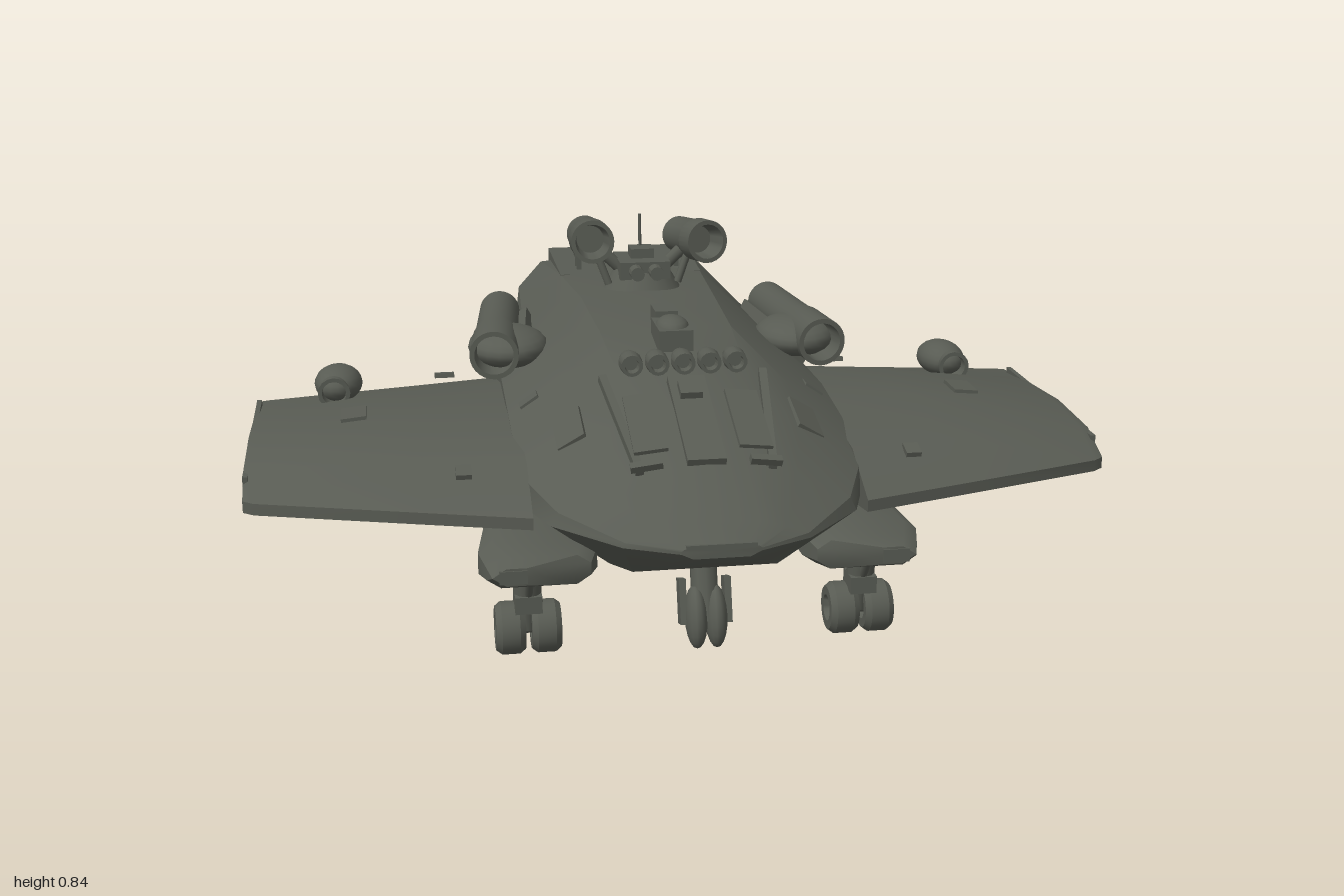
import * as THREE from 'three';
import { toCreasedNormals } from 'three/addons/utils/BufferGeometryUtils.js';

const hullGrey = new THREE.MeshStandardMaterial({ color: 0x585b53, side: THREE.DoubleSide });
hullGrey.name = 'hullGrey';

// Skin a list of closed rings (arrays of [x, y, z]) and cap both ends.
function loft(rings, crease = 0.5) {
  const n = rings[0].length, pos = rings.flat(2), idx = [];
  for (let r = 0; r < rings.length - 1; r++) {
    for (let i = 0; i < n; i++) {
      const j = (i + 1) % n, a = r * n + i, b = r * n + j;
      idx.push(a, b, a + n, b, b + n, a + n);
    }
  }
  [0, rings.length - 1].forEach((r, end) => {
    const c = pos.length / 3;
    for (let k = 0; k < 3; k++) pos.push(rings[r].reduce((s, p) => s + p[k], 0) / n);
    for (let i = 0; i < n; i++) {
      const a = r * n + i, b = r * n + (i + 1) % n;
      idx.push(...(end ? [a, b, c] : [b, a, c]));
    }
  });
  // Turn the faces outward if the enclosed volume is negative.
  const v = (i) => new THREE.Vector3().fromArray(pos, i * 3);
  let vol = 0;
  for (let i = 0; i < idx.length; i += 3) vol += v(idx[i]).dot(v(idx[i + 1]).cross(v(idx[i + 2])));
  if (vol < 0) idx.reverse();
  const g = new THREE.BufferGeometry();
  g.setAttribute('position', new THREE.Float32BufferAttribute(pos, 3));
  g.setIndex(idx);
  return toCreasedNormals(g, crease);
}

// Spin a [radius, distance] profile about the z axis.
function spin(profile, sides = 28) {
  const g = new THREE.LatheGeometry(profile.map((p) => new THREE.Vector2(...p)), sides);
  return toCreasedNormals(g.rotateX(Math.PI / 2), 0.5);
}

export function createModel() {
  const model = new THREE.Group();
  const add = (name, geo, p = [0, 0, 0], rot = [0, 0, 0]) => {
    const m = new THREE.Mesh(geo, hullGrey);
    m.name = name;
    m.position.set(...p);
    m.rotation.set(...rot);
    model.add(m);
    return m;
  };
  const box = (name, size, p, rot) => add(name, new THREE.BoxGeometry(...size), p, rot);
  const rod = (name, a, b, r) => {
    const A = new THREE.Vector3(...a), d = new THREE.Vector3(...b).sub(A);
    const m = add(name, new THREE.CylinderGeometry(r, r, d.length(), 10));
    m.position.copy(A).addScaledVector(d, 0.5);
    m.quaternion.setFromUnitVectors(new THREE.Vector3(0, 1, 0), d.normalize());
  };

  // Hull: z, top y, shoulder x y, flank x y, upper edge x y, lower edge x y, keel x y, keel centre y
  const stations = [
    [0.85, 0.375, 0.07, 0.373, 0.08, 0.37, 0.085, 0.366, 0.085, 0.36, 0.06, 0.348, 0.348],
    [0.8, 0.41, 0.09, 0.405, 0.15, 0.39, 0.195, 0.373, 0.2, 0.362, 0.1, 0.32, 0.32],
    [0.66, 0.495, 0.1, 0.49, 0.2, 0.45, 0.32, 0.395, 0.335, 0.365, 0.16, 0.25, 0.25],
    [0.5, 0.56, 0.13, 0.555, 0.24, 0.505, 0.385, 0.425, 0.39, 0.36, 0.19, 0.207, 0.21],
    [0.3, 0.62, 0.15, 0.612, 0.26, 0.55, 0.39, 0.465, 0.395, 0.35, 0.21, 0.17, 0.18],
    [0.1, 0.65, 0.16, 0.643, 0.27, 0.57, 0.39, 0.487, 0.39, 0.34, 0.22, 0.148, 0.165],
    [-0.2, 0.665, 0.17, 0.653, 0.28, 0.57, 0.385, 0.487, 0.385, 0.34, 0.24, 0.148, 0.165],
    [-0.5, 0.655, 0.19, 0.643, 0.3, 0.55, 0.355, 0.46, 0.385, 0.37, 0.28, 0.16, 0.17],
  ];
  const mirror = (half) => [...half, ...half.slice(1, -1).reverse().map(([x, y, z]) => [-x, y, z])];
  const rings = stations.map(([z, t, ...q]) => mirror([[0, t, z],
    ...[0, 2, 4, 6, 8].map((i) => [q[i], q[i + 1], z]), [0, q[10], z]]));
  // Slanted stern with a recessed bay above a ramp
  const stern = mirror([[0, 0.64, -0.79], [0.22, 0.62, -0.787], [0.285, 0.55, -0.78],
    [0.3, 0.46, -0.745], [0.365, 0.37, -0.71], [0.33, 0.17, -0.69], [0, 0.18, -0.64]]);
  rings.push(stern, stern.map(([x, y, z]) => [x * 0.75, 0.4 + (y - 0.17) * 0.44, z + 0.12]));
  add('hull', loft(rings));

  // Canopy frames and centre channel on the sloping nose
  box('noseChannel', [0.085, 0.018, 0.3], [0, 0.548, 0.53], [0.36, 0, 0]);
  box('noseChannelCap', [0.05, 0.03, 0.05], [0, 0.588, 0.45], [0.33, 0, 0]);
  box('noseSlot', [0.15, 0.012, 0.03], [0, 0.372, 0.835]);
  for (const s of [-1, 1]) {
    box('canopyFrame', [0.018, 0.02, 0.34], [s * 0.165, 0.54, 0.51], [0.36, s * -0.12, 0]);
    box('canopySill', [0.07, 0.016, 0.018], [s * 0.13, 0.493, 0.665], [0.4, 0, s * -0.15]);
    box('canopyPanel', [0.075, 0.009, 0.2], [s * 0.115, 0.548, 0.54], [0.36, 0, s * -0.12]);
    box('sidePlate', [0.07, 0.012, 0.12], [s * 0.27, 0.507, 0.43], [0.25, 0, s * -0.58]);
    box('sideHatch', [0.05, 0.012, 0.04], [s * 0.34, 0.507, 0.2], [0, 0, s * -0.6]);
  }
  // Sensor row and dorsal equipment
  for (let i = 0; i < 5; i++) {
    add('sensorPod', spin([[0, -0.035], [0.02, -0.035], [0.027, 0], [0.025, 0.035], [0.017, 0.035], [0.015, 0.015], [0, 0.015]], 14),
      [-0.12 + i * 0.06, 0.632, 0.345]);
  }
  box('dorsalBox', [0.08, 0.05, 0.13], [0, 0.655, 0.2]);
  add('dorsalDome', new THREE.SphereGeometry(0.04, 16, 10).scale(1, 0.7, 1.4), [0, 0.673, 0.2]);
  box('dorsalUnit', [0.055, 0.045, 0.08], [0, 0.668, 0.08]);

  // Turret with twin barrels and a mast
  add('turretBase', new THREE.CylinderGeometry(0.07, 0.1, 0.05, 20), [0, 0.68, -0.3]);
  box('turretHead', [0.13, 0.045, 0.14], [0, 0.71, -0.3]);
  box('turretCrown', [0.06, 0.03, 0.06], [0, 0.742, -0.31]);
  rod('mast', [0, 0.74, -0.33], [0, 0.84, -0.33], 0.004);
  for (const x of [-0.025, 0.025]) add('turretLens', spin([[0.018, -0.03], [0.018, 0.03], [0, 0.03]], 12), [x, 0.71, -0.22]);
  const barrel = spin([[0, -0.1], [0.035, -0.1], [0.047, -0.085], [0.05, 0.03], [0.055, 0.04],
    [0.055, 0.1], [0.044, 0.1], [0.035, 0.04], [0, 0.04]]);
  for (const s of [-1, 1]) {
    const p = s < 0 ? [-0.138, 0.787, -0.305] : [0.135, 0.776, -0.315];
    add('turretBarrel', barrel, p, [-0.08, s < 0 ? 0 : 0.25, 0]);
    rod('barrelArm', [s * 0.05, 0.7, -0.3], [s * 0.12, 0.765, -0.3], 0.016);
    rod('barrelBrace', [s * 0.09, 0.67, -0.27], [s * 0.12, 0.75, -0.28], 0.01);
  }

  const duct = new THREE.Shape([[-0.05, -0.042], [0.05, -0.042], [0.05, 0.042], [-0.05, 0.042]].map((p) => new THREE.Vector2(...p)));
  duct.holes.push(new THREE.Path([[-0.04, -0.032], [-0.04, 0.032], [0.04, 0.032], [0.04, -0.032]].map((p) => new THREE.Vector2(...p))));
  const ductGeo = new THREE.ExtrudeGeometry(duct, { depth: 0.35, bevelEnabled: false });
  const engineGeo = spin([[0, -0.235], [0.042, -0.235], [0.052, -0.22], [0.054, 0.05], [0.059, 0.09],
    [0.06, 0.235], [0.048, 0.235], [0.042, 0.13], [0, 0.13]]);
  const wheelGeo = spin([[0, -0.02], [0.025, -0.02], [0.03, -0.033], [0.05, -0.033], [0.06, -0.02],
    [0.06, 0.02], [0.05, 0.033], [0.03, 0.033], [0.025, 0.02], [0, 0.02]], 24).rotateY(Math.PI / 2);

  const wheelPair = (x, y, z, gap, topY, lean) => {
    for (const d of [-gap, gap]) add('wheel', wheelGeo, [x + d, y, z]);
    rod('axle', [x - gap, y, z], [x + gap, y, z], 0.015);
    rod('strut', [x, y, z], [x, topY, z + lean], 0.02);
    rod('strutSleeve', [x, (y + topY) / 2, z + lean / 2], [x, topY, z + lean], 0.032);
    rod('dragBrace', [x, y + 0.04, z], [x, topY, z + lean + 0.07], 0.01);
    rod('sideBrace', [x + 0.03, y + 0.05, z], [x - 0.05, topY, z + lean], 0.01);
    box('gearLink', [0.06, 0.04, 0.07], [x, y + 0.07, z + lean * 0.5]);
  };

  for (const s of [-1, 1]) {
    // Wing: chord fraction and height of each section point
    const section = (x, zf, zr, top) => [[0, 0.345], [0, 0.372], [0.14, 0.6 * top + 0.16], [0.42, top],
      [0.72, top - 0.015], [1, 0.39], [1, 0.365], [0.7, 0.333], [0.1, 0.328]]
      .map(([t, y]) => [s * x, y, zf + (zr - zf) * t]);
    add('wing', loft([section(0.37, 0.625, -0.415, 0.475), section(0.6, 0.555, -0.365, 0.472),
      section(0.97, 0.44, -0.29, 0.435), section(0.995, 0.42, -0.28, 0.425)]));
    box('wingTipRail', [0.012, 0.07, 0.6], [s * 0.99, 0.375, 0.07]);
    box('wingPanel', [0.06, 0.009, 0.09], [s * 0.75, 0.46, 0.09], [0, 0, s * -0.1]);
    box('wingHatch', [0.035, 0.012, 0.04], [s * 0.51, 0.435, 0.48], [0.3, 0, 0]);
    box('wingHatch', [0.05, 0.012, 0.04], [s * 0.52, 0.432, -0.31], [-0.2, 0, 0]);

    // Wing pod
    add('wingPod', new THREE.SphereGeometry(1, 20, 12).scale(0.06, 0.045, 0.085), [s * 0.79, 0.453, -0.21]);
    add('wingPodNozzle', spin([[0.03, -0.05], [0.04, 0.05], [0.03, 0.05], [0.022, -0.05]], 16), [s * 0.8, 0.45, -0.17]);

    // Shoulder engine
    add('shoulderEngine', engineGeo, [s * 0.385, 0.57, -0.215], [0, s * 0.1, 0]);
    add('engineFairing', new THREE.SphereGeometry(1, 20, 12).scale(0.1, 0.05, 0.12), [s * 0.365, 0.56, -0.11]);
    box('enginePylon', [0.1, 0.06, 0.32], [s * 0.34, 0.535, -0.24], [0, s * 0.1, s * -0.5]);

    // Dorsal exhaust duct
    add('exhaustDuct', ductGeo, [s * 0.142, 0.603, -0.85]);
    box('ductBaffle', [0.09, 0.07, 0.01], [s * 0.142, 0.603, -0.76]);
    box('ductHandle', [0.018, 0.012, 0.055], [s * 0.135, 0.68, -0.585]);
    for (const z of [-0.563, -0.607]) box('handlePost', [0.012, 0.04, 0.01], [s * 0.135, 0.66, z]);

    // Hollow tail prong
    const rect = (z, x0, x1, y0, y1) => [[s * x0, y0, z], [s * x1, y0, z], [s * x1, y1, z], [s * x0, y1, z]];
    add('tailProng', loft([rect(-0.37, 0.22, 0.37, 0.152, 0.4), rect(-0.5, 0.2, 0.38, 0.158, 0.4),
      rect(-0.72, 0.225, 0.378, 0.163, 0.37), rect(-0.85, 0.26, 0.36, 0.165, 0.24),
      rect(-0.85, 0.272, 0.348, 0.177, 0.228), rect(-0.78, 0.275, 0.345, 0.18, 0.225)]));

    // Spiked tail fin
    const spike = [[0.27, -0.38], [0.365, -0.49], [0.27, -0.59], [0.18, -0.49]];
    add('tailFin', loft([spike.map(([y, z]) => [s * 0.36, y, z]),
      spike.map(([y, z]) => [s * 0.655, 0.275 + (y - 0.27) * 0.03, -0.71 + (z + 0.49) * 0.03])]));

    // Forward gear pod
    const podRing = (z, x0, x1, y0, y1) => [[x0, y0 + 0.02], [x0 + 0.03, y0], [x1 - 0.03, y0], [x1, y0 + 0.02],
      [x1, y1 - 0.02], [x1 - 0.03, y1], [x0 + 0.03, y1], [x0, y1 - 0.02]].map(([x, y]) => [s * x, y, z]);
    add('gearPod', loft([podRing(0.33, 0.22, 0.4, 0.25, 0.33), podRing(0.42, 0.22, 0.46, 0.228, 0.33),
      podRing(0.6, 0.23, 0.49, 0.222, 0.31), podRing(0.66, 0.25, 0.475, 0.23, 0.297), podRing(0.69, 0.36, 0.465, 0.245, 0.285)], 0.8));
    box('podLight', [0.06, 0.03, 0.01], [s * 0.42, 0.265, 0.688]);
    box('sideVent', [0.02, 0.07, 0.09], [s * 0.285, 0.22, 0.06], [0, 0, s * -0.7]);

    // Main landing gear
    wheelPair(s * 0.38, 0.08, 0.53, 0.04, 0.26, 0.03);
    wheelPair(s * 0.39, 0.07, -0.33, 0.04, 0.35, 0.06);
    box('gearDoor', [0.012, 0.1, 0.12], [s * 0.33, 0.2, -0.27], [0, 0, s * 0.2]);

    // Nose gear shoe
    box('noseGearFork', [0.015, 0.1, 0.04], [s * 0.05, 0.17, 0.65], [-0.3, 0, 0]);
    add('noseGearShoe', new THREE.SphereGeometry(1, 14, 10).scale(0.025, 0.07, 0.045), [s * 0.022, 0.14, 0.67], [-0.3, 0, 0]);
  }

  // Centre line gear
  rod('noseGearStrut', [0, 0.13, 0.67], [0, 0.28, 0.62], 0.03);
  rod('noseGearBrace', [0, 0.15, 0.66], [0, 0.24, 0.56], 0.012);
  wheelPair(0, 0.1, -0.41, 0.02, 0.17, 0.03);

  return model;
}
